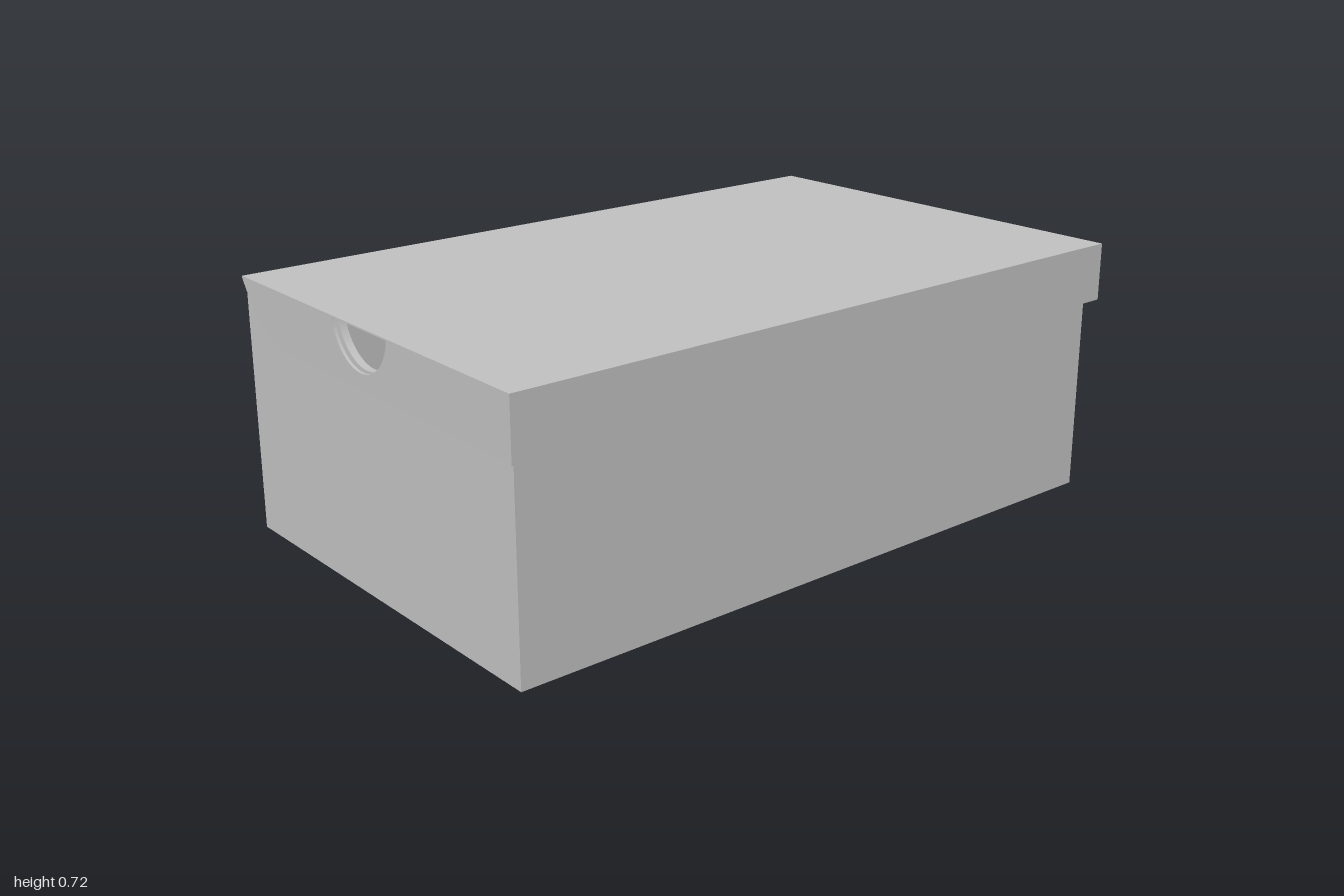
import * as THREE from 'three';

const NOTCH = { z: -0.01, y: 0.735, r: 0.13 };
const BACK = -0.62, BODY_FRONT = 0.595, LID_FRONT = 0.625;

// Continues an outline along its top edge (front to back), dipping around the finger hole
function topEdgeWithNotch(shape, y) {
  const a = Math.asin((y - NOTCH.y) / NOTCH.r);
  shape.lineTo(NOTCH.z + NOTCH.r * Math.cos(a), y);
  shape.absarc(NOTCH.z, NOTCH.y, NOTCH.r, a, -Math.PI - a, true);
}

// Extrudes a (z, y) outline into an end panel whose outer face is at x = side * outer
function endPanel(shape, outer, thickness, side) {
  const g = new THREE.ExtrudeGeometry(shape, { depth: thickness, bevelEnabled: false, curveSegments: 32 });
  g.rotateY(-Math.PI / 2);
  g.translate(side > 0 ? outer : -outer + thickness, 0, 0);
  return g;
}

// Box given by its limits on each axis
function slab(x0, x1, y0, y1, z0, z1) {
  const g = new THREE.BoxGeometry(x1 - x0, y1 - y0, z1 - z0);
  return g.translate((x0 + x1) / 2, (y0 + y1) / 2, (z0 + z1) / 2);
}

// The lid narrows and sinks slightly towards the hinge
function taperLid(g) {
  const p = g.attributes.position;
  for (let i = 0; i < p.count; i++) {
    const t = (LID_FRONT - p.getZ(i)) / (LID_FRONT - BACK);
    p.setX(i, p.getX(i) * (1 - 0.014 * t));
    p.setY(i, p.getY(i) - 0.005 * t);
  }
  g.computeVertexNormals();
  return g;
}

export function createModel() {
  const model = new THREE.Group();
  model.name = 'shoeBox';
  const card = new THREE.MeshStandardMaterial({ color: 0xc0c0c0 });
  card.name = 'greyCard';

  const body = new THREE.Group();
  body.name = 'body';
  const lid = new THREE.Group();
  lid.name = 'lid';
  model.add(body, lid);
  const add = (group, name, geometry) => {
    const mesh = new THREE.Mesh(geometry, card);
    mesh.name = name;
    group.add(mesh);
  };

  // Tray: floor, front and back walls
  add(body, 'floor', slab(-0.955, 0.955, 0, 0.01, BACK + 0.01, BODY_FRONT - 0.01));
  add(body, 'frontWall', slab(-0.955, 0.955, 0, 0.71, BODY_FRONT - 0.01, BODY_FRONT));
  add(body, 'backWall', slab(-0.955, 0.955, 0, 0.71, BACK, BACK + 0.01));

  // Tray end walls with the finger hole
  const wall = new THREE.Shape();
  wall.moveTo(BACK, 0);
  wall.lineTo(BODY_FRONT, 0);
  wall.lineTo(BODY_FRONT, 0.71);
  topEdgeWithNotch(wall, 0.71);
  wall.lineTo(BACK, 0.71);
  wall.closePath();

  // Lid end flaps, swept up in a curve to the hinge
  const flap = new THREE.Shape();
  flap.moveTo(LID_FRONT - 0.008, 0.563);
  flap.lineTo(LID_FRONT - 0.008, 0.716);
  topEdgeWithNotch(flap, 0.716);
  flap.lineTo(BACK, 0.716);
  flap.bezierCurveTo(-0.565, 0.625, -0.49, 0.565, -0.4, 0.565);
  flap.closePath();

  for (const side of [1, -1]) {
    const label = side > 0 ? 'left' : 'right';
    add(body, label + 'EndWall', endPanel(wall, 0.975, 0.02, side));
    add(lid, label + 'EndFlap', taperLid(endPanel(flap, 1, 0.008, side)));
  }

  // Lid top and front flap
  add(lid, 'lidTop', taperLid(slab(-1, 1, 0.716, 0.72, BACK, LID_FRONT)));
  add(lid, 'lidFrontFlap', taperLid(slab(-1, 1, 0.558, 0.716, LID_FRONT - 0.008, LID_FRONT)));

  return model;
}
